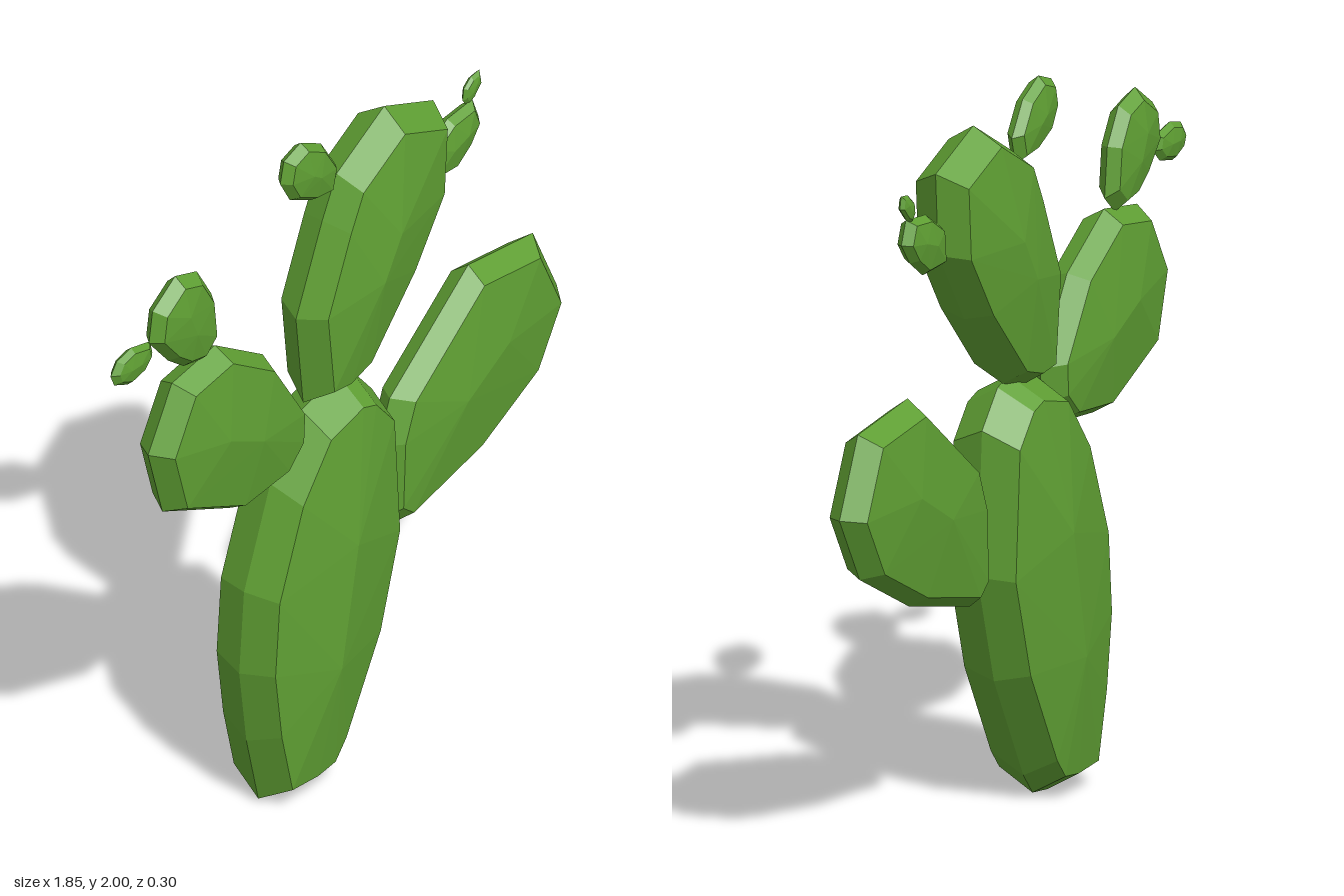
import * as THREE from 'three';
import { ConvexGeometry } from 'three/addons/geometries/ConvexGeometry.js';

const green = new THREE.MeshStandardMaterial({ color: 0x5f9f33, flatShading: true });

// A faceted pad: outline at mid-depth, an inset ring on each face, and a raised ridge.
function pad(name, outline, ridge, depth, z = 0, inset = 0.87) {
  const xs = outline.map(p => p[0]), ys = outline.map(p => p[1]);
  const cx = (Math.min(...xs) + Math.max(...xs)) / 2;
  const cy = (Math.min(...ys) + Math.max(...ys)) / 2;
  const points = outline.map(([x, y]) => new THREE.Vector3(x, y, z));
  for (const side of [1, -1]) {
    for (const [x, y] of outline) {
      points.push(new THREE.Vector3(cx + (x - cx) * inset, cy + (y - cy) * inset, z + side * depth * 0.68));
    }
    for (const [x, y] of ridge) points.push(new THREE.Vector3(x, y, z + side * depth));
  }
  const mesh = new THREE.Mesh(new ConvexGeometry(points), green);
  mesh.name = name;
  return mesh;
}

export function createModel() {
  const cactus = new THREE.Group();
  cactus.name = 'cactus';

  // Main stem
  cactus.add(pad('trunkPad', [
    [-0.33, 0.01], [-0.38, 0.22], [-0.41, 0.45], [-0.39, 0.7], [-0.28, 0.99], [-0.15, 1.16], [0, 1.2],
    [0.06, 1.18], [0.145, 1.08], [0.17, 0.68], [0.08, 0.37], [-0.08, 0.07], [-0.13, 0.01], [-0.21, 0],
  ], [[-0.16, 0.4], [-0.09, 0.76]], 0.15, 0, 0.9));

  // Large pads growing from the stem
  cactus.add(pad('leftPad', [
    [0.16, 0.65], [0.17, 0.88], [0.22, 1.01], [0.55, 1.27], [0.82, 1.235], [0.92, 1.02],
    [0.81, 0.83], [0.54, 0.69], [0.21, 0.61],
  ], [[0.45, 0.92], [0.62, 1.02]], 0.085));
  cactus.add(pad('topPad', [
    [-0.13, 1.17], [-0.16, 1.45], [-0.05, 1.71], [0.01, 1.83], [0.21, 1.945], [0.415, 1.86],
    [0.4, 1.63], [0.26, 1.42], [0.05, 1.19], [-0.05, 1.16],
  ], [[0.07, 1.5], [0.14, 1.62]], 0.12, -0.01));
  cactus.add(pad('rightPad', [
    [-0.68, 1.51], [-0.5, 1.54], [-0.3, 1.41], [-0.155, 1.18], [-0.16, 1.08], [-0.23, 1.01],
    [-0.44, 0.99], [-0.72, 1.12], [-0.78, 1.33],
  ], [[-0.54, 1.29], [-0.4, 1.22]], 0.09, -0.01));

  // Buds on the right pad
  cactus.add(pad('rightBud', [
    [-0.55, 1.52], [-0.495, 1.57], [-0.51, 1.71], [-0.57, 1.81], [-0.66, 1.84], [-0.755, 1.775],
    [-0.77, 1.68], [-0.69, 1.585], [-0.625, 1.535],
  ], [[-0.62, 1.65], [-0.65, 1.72]], 0.047, -0.015, 0.8));
  cactus.add(pad('rightSmallBud', [
    [-0.925, 1.65], [-0.9, 1.685], [-0.84, 1.7], [-0.76, 1.68], [-0.75, 1.64], [-0.785, 1.605],
    [-0.855, 1.59], [-0.91, 1.615],
  ], [[-0.86, 1.645], [-0.82, 1.645]], 0.023, -0.02, 0.75));

  // Buds on the top pad
  cactus.add(pad('topBud', [
    [-0.22, 1.91], [-0.205, 1.975], [-0.135, 2], [-0.05, 1.955], [0.01, 1.86], [-0.01, 1.785],
    [-0.09, 1.795], [-0.18, 1.84],
  ], [[-0.12, 1.9], [-0.09, 1.88]], 0.038, -0.015, 0.8));
  cactus.add(pad('leftBud', [
    [0.385, 1.605], [0.395, 1.71], [0.48, 1.765], [0.585, 1.775], [0.61, 1.71], [0.565, 1.65], [0.495, 1.6],
  ], [[0.47, 1.68], [0.53, 1.7]], 0.036, -0.015, 0.8));
  cactus.add(pad('leftSmallBud', [
    [0.55, 1.785], [0.555, 1.82], [0.585, 1.845], [0.62, 1.85], [0.627, 1.815], [0.59, 1.775], [0.565, 1.765],
  ], [[0.58, 1.8], [0.595, 1.82]], 0.014, -0.02, 0.75));

  return cactus;
}
